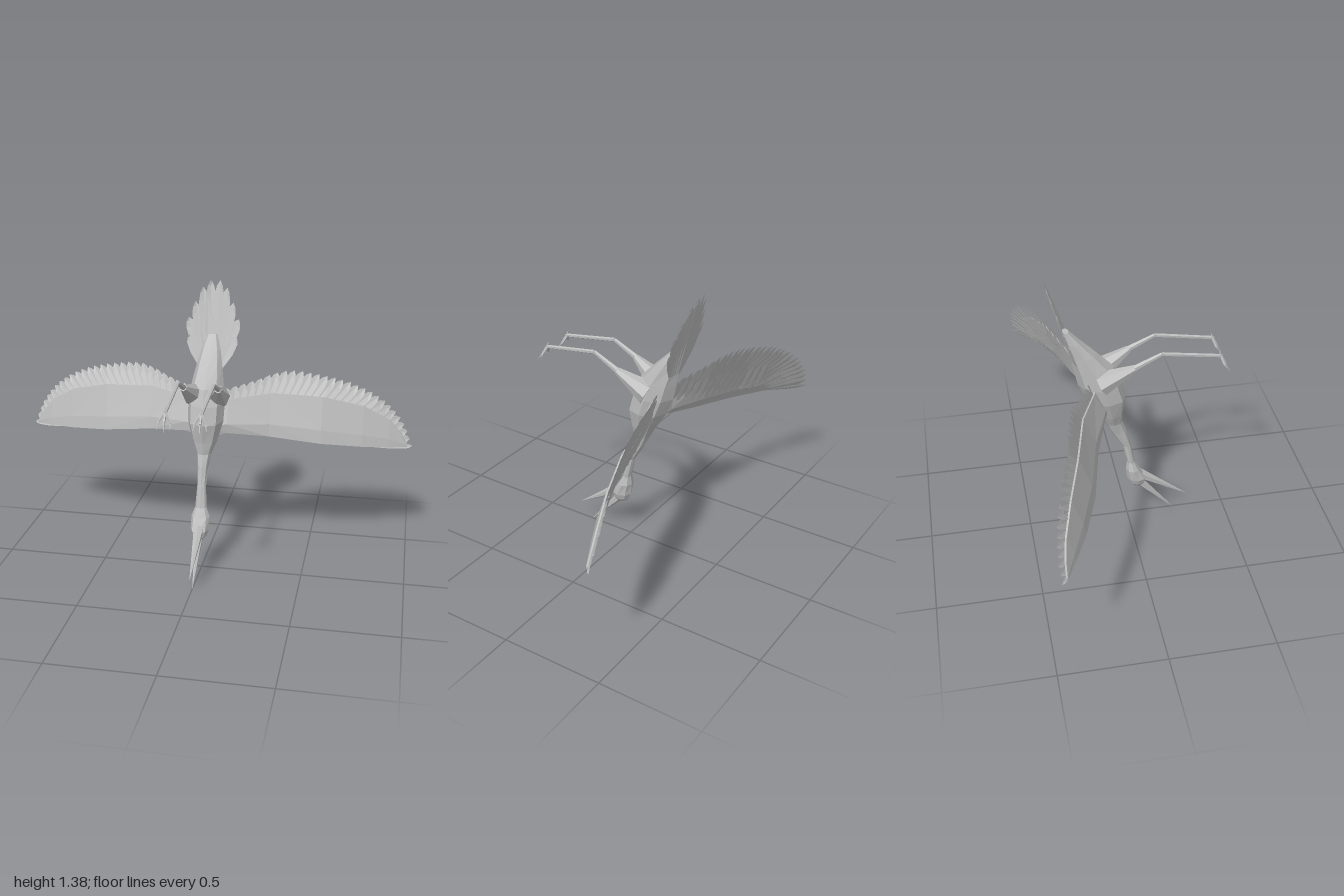
import * as THREE from 'three';
import { mergeGeometries } from 'three/addons/utils/BufferGeometryUtils.js';

const plumage = new THREE.MeshStandardMaterial({ color: 0xbcbcbc, flatShading: true, side: THREE.DoubleSide });
plumage.name = 'grey plumage';

function mesh(name, geometry) {
  const m = new THREE.Mesh(geometry, plumage);
  m.name = name;
  return m;
}

function fromPositions(pos) {
  const g = new THREE.BufferGeometry();
  g.setAttribute('position', new THREE.Float32BufferAttribute(pos, 3));
  g.computeVertexNormals();
  return g;
}

// Closed skin through a list of rings, with capped ends
function loft(rings) {
  const pos = [], n = rings[0].length, last = rings[rings.length - 1];
  const tri = (a, b, c) => pos.push(...a, ...b, ...c);
  for (let i = 0; i < rings.length - 1; i++) {
    for (let j = 0; j < n; j++) {
      const k = (j + 1) % n, a = rings[i], b = rings[i + 1];
      tri(a[j], b[j], a[k]);
      tri(a[k], b[j], b[k]);
    }
  }
  for (let j = 1; j < n - 1; j++) {
    tri(rings[0][0], rings[0][j], rings[0][j + 1]);
    tri(last[0], last[j + 1], last[j]);
  }
  return fromPositions(pos);
}

// Tapered rod between two points
function rod(a, b, r0, r1, sides = 6) {
  const p = new THREE.Vector3(...a), q = new THREE.Vector3(...b);
  const d = q.clone().sub(p), len = d.length();
  const g = new THREE.CylinderGeometry(r1, r0, len, sides);
  g.applyQuaternion(new THREE.Quaternion().setFromUnitVectors(new THREE.Vector3(0, 1, 0), d.normalize()));
  g.translate(...p.add(q).multiplyScalar(0.5).toArray());
  return g;
}

// Linear interpolation in a short table of [x, value]
function lookup(table, x) {
  let i = 0;
  while (i < table.length - 2 && x > table[i + 1][0]) i++;
  const [x0, v0] = table[i], [x1, v1] = table[i + 1];
  return v0 + (v1 - v0) * (x - x0) / (x1 - x0);
}

// Pointed blade laid on a surface z = depth(x, y), one edge lifted so neighbours overlap
function feather(depth, base, tip, half, lift) {
  const dx = tip[0] - base[0], dy = tip[1] - base[1], len = Math.hypot(dx, dy);
  const rows = [[0, 0.4], [0.5, 1], [0.82, 0.95], [0.93, 0.6], [1, 0]].map(([t, w]) =>
    [-1, 0, 1].map(s => {
      const x = base[0] + dx * t + (dy / len) * s * w * half;
      const y = base[1] + dy * t - (dx / len) * s * w * half;
      return [x, y, depth(x, y) + s * lift - (s === 0 ? 0.003 : 0)];
    }));
  const pos = [];
  for (let i = 0; i < rows.length - 1; i++) {
    for (let s = 0; s < 2; s++) {
      const a = rows[i], b = rows[i + 1];
      pos.push(...a[s], ...a[s + 1], ...b[s]);
      if (i < rows.length - 2) pos.push(...a[s + 1], ...b[s + 1], ...b[s]);
    }
  }
  return fromPositions(pos);
}

// Wing surface: leading edge height and depth along the span, sloping back to the trailing edge
const leadY = [[0.03, 0.66], [0.1, 0.675], [0.3, 0.647], [0.55, 0.605], [0.75, 0.577], [0.88, 0.56], [1, 0.545]];
const leadZ = [[0.03, -0.1], [0.1, -0.125], [0.3, -0.19], [0.55, -0.245], [0.8, -0.335], [1, -0.445]];
const wingDepth = (x, y) => lookup(leadZ, x) - 0.33 * (y - lookup(leadY, x));

function wing() {
  const g = new THREE.Group();
  // Covert panel: span position, rear edge height, thickness
  const stations = [[0.03, 0.83, 0.04], [0.1, 0.83, 0.03], [0.3, 0.85, 0.018], [0.55, 0.825, 0.014],
    [0.75, 0.77, 0.011], [0.88, 0.69, 0.008], [0.94, 0.62, 0.006], [0.975, 0.56, 0.003]];
  g.add(mesh('wingPanel', loft(stations.map(([x, top, thick]) => {
    const low = lookup(leadY, x), at = (t, off) => {
      const y = low + (top - low) * t;
      return [x, y, wingDepth(x, y) + off];
    };
    return [at(0, 0), at(0.3, thick * 0.6), at(1, 0.004), at(1, -0.004), at(0.25, -thick)];
  }))));

  // Flight feathers fan from the arm to the scalloped trailing edge
  const tips = new THREE.CatmullRomCurve3([[0.09, 0.88], [0.2, 0.905], [0.37, 0.95], [0.52, 0.93], [0.7, 0.875],
    [0.85, 0.785], [0.95, 0.665], [1, 0.546]].map(p => new THREE.Vector3(...p, 0)));
  const roots = new THREE.CatmullRomCurve3([[0.08, 0.73], [0.25, 0.72], [0.42, 0.7], [0.57, 0.665],
    [0.7, 0.63], [0.8, 0.575]].map(p => new THREE.Vector3(...p, 0)));
  const count = 28, blades = [];
  for (let i = 0; i < count; i++) {
    const t = i / (count - 1), tip = tips.getPointAt(t), root = roots.getPointAt(t);
    const depth = (x, y) => wingDepth(x, y) - 0.009 - (i % 2) * 0.002;
    blades.push(feather(depth, [root.x, root.y], [tip.x, tip.y], i === count - 1 ? 0.012 : 0.026, 0.004));
  }
  // Short covert row over the back of the inner wing
  for (let i = 0; i < 14; i++) {
    const x = 0.09 + i * 0.045, low = lookup(leadY, x);
    blades.push(feather((a, b) => wingDepth(a, b) - 0.018, [x, low + 0.05], [x + 0.012, low + 0.19], 0.026, 0.003));
  }
  g.add(mesh('wingFeathers', mergeGeometries(blades)));
  return g;
}

function leg() {
  const g = new THREE.Group();
  const hip = [0.055, 0.86, -0.13], knee = [0.083, 0.945, 0.025];
  const heel = [0.083, 1.007, 0.147], ankle = [0.08, 0.962, 0.43];
  g.add(mesh('thigh', rod(hip, knee, 0.06, 0.017, 7)));
  g.add(mesh('shin', mergeGeometries([rod([0.083, 0.94, 0.01], heel, 0.015, 0.009), rod(heel, ankle, 0.01, 0.009)])));
  // Three front toes and one hind toe, each with a claw
  const toes = [];
  for (const s of [-1, 0, 1]) {
    const mid = [0.08 + s * 0.024, 0.925, 0.45 - Math.abs(s) * 0.006];
    toes.push(rod(ankle, mid, 0.008, 0.006, 5));
    toes.push(rod(mid, [0.08 + s * 0.03, s ? 0.895 : 0.882, 0.468], 0.006, 0.001, 5));
  }
  toes.push(rod(ankle, [0.08, 0.988, 0.422], 0.007, 0.001, 5));
  g.add(mesh('foot', mergeGeometries(toes)));
  return g;
}

export function createModel() {
  const model = new THREE.Group();
  model.name = 'divingWadingBird';

  // Head, neck and body: height, front depth, back depth, half width
  const section = ([y, front, back, w]) => Array.from({ length: 8 }, (_, j) => {
    const a = (j / 8) * Math.PI * 2;
    return [w * Math.cos(a), y, (front + back) / 2 + (front - back) / 2 * Math.sin(a)];
  });
  const head = [[0.182, 0.083, 0.03, 0.02], [0.2, 0.095, 0.012, 0.035], [0.23, 0.1, 0, 0.045],
    [0.29, 0.062, -0.006, 0.045], [0.335, 0.038, 0, 0.028]];
  const neck = [head[4], [0.44, 0.018, -0.022, 0.022], [0.53, -0.004, -0.078, 0.027], [0.59, -0.025, -0.108, 0.037]];
  const body = [neck[3], [0.65, -0.02, -0.14, 0.062], [0.745, -0.003, -0.2, 0.088], [0.83, -0.025, -0.235, 0.09],
    [0.91, -0.06, -0.252, 0.08], [1.0, -0.145, -0.268, 0.062], [1.07, -0.215, -0.285, 0.046], [1.13, -0.27, -0.3, 0.025]];
  model.add(mesh('head', loft(head.map(section))));
  model.add(mesh('neck', loft(neck.map(section))));
  model.add(mesh('body', loft(body.map(section))));

  // Open beak
  model.add(mesh('upperBeak', rod([0, 0.243, 0.07], [0, 0.08, 0.305], 0.027, 0.001)));
  model.add(mesh('lowerBeak', rod([0, 0.212, 0.05], [0, 0, 0.237], 0.023, 0.001)));

  // Tail fan
  const tailDepth = (x, y) => -0.262 - 0.27 * (y - 0.98);
  const fan = [];
  [[0.023, 1.378], [0.06, 1.345], [0.095, 1.275], [0.125, 1.2], [0.115, 1.12]].forEach(([x, y], i) => {
    for (const s of [-1, 1]) {
      fan.push(feather((a, b) => tailDepth(a, b) + i * 0.003, [s * (0.008 + i * 0.01), 0.97], [s * x, y], 0.026, s * 0.003));
    }
  });
  model.add(mesh('tailFeathers', mergeGeometries(fan)));

  // Mirrored wings and legs
  for (const [side, s] of [['left', 1], ['right', -1]]) {
    for (const [part, build] of [['Wing', wing], ['Leg', leg]]) {
      const g = build();
      g.name = side + part;
      g.scale.x = s;
      model.add(g);
    }
  }
  return model;
}
